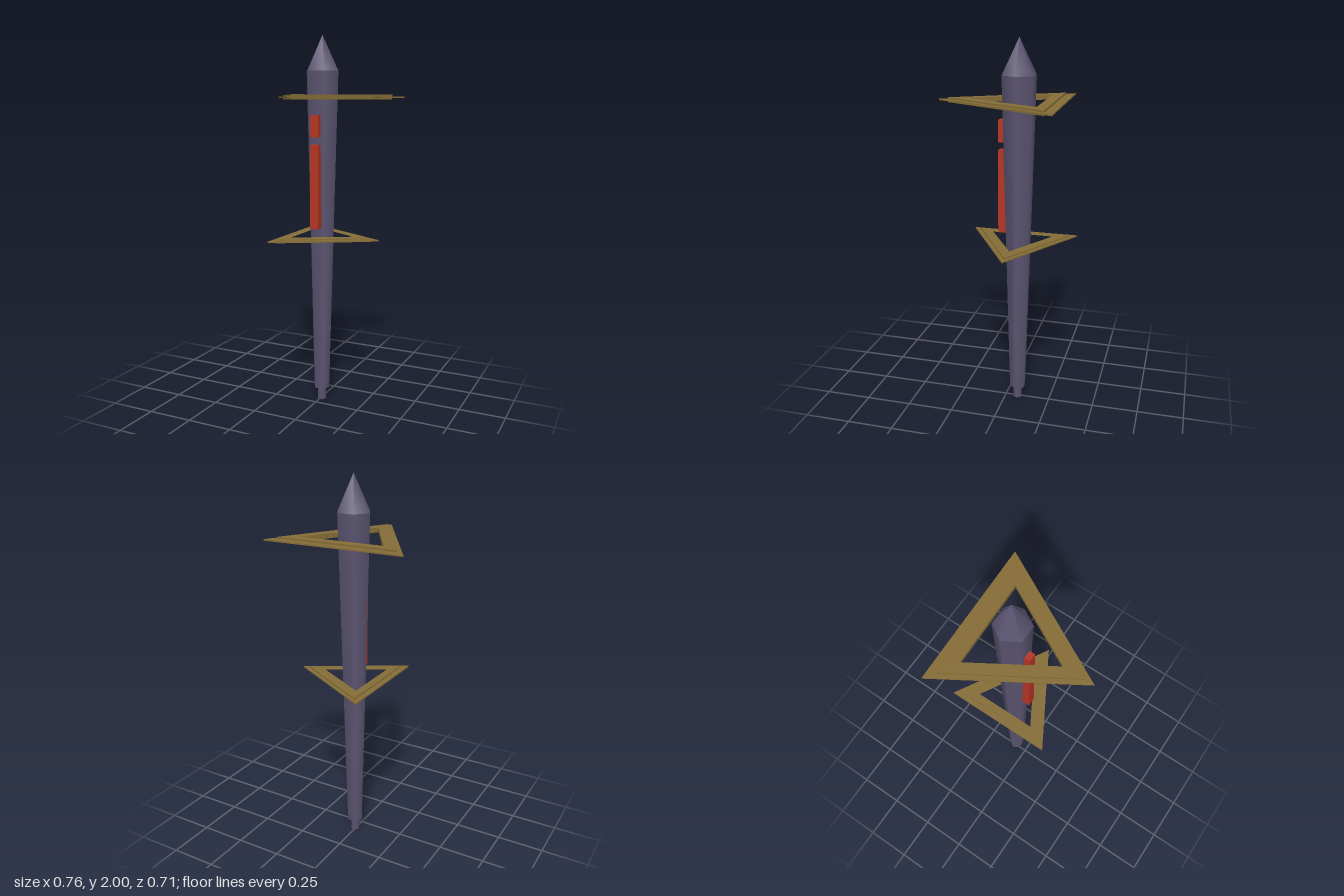
import * as THREE from 'three';

const mat = (name, color) => {
  const m = new THREE.MeshStandardMaterial({ color });
  m.name = name;
  return m;
};

export function createModel() {
  const model = new THREE.Group();
  model.name = 'wand';
  const slate = mat('slate purple', 0x5a5470);
  const gold = mat('old gold', 0x846c36);
  const red = mat('red', 0xb43424);

  const add = (parent, name, geometry, material, x = 0, y = 0, z = 0) => {
    const mesh = new THREE.Mesh(geometry, material);
    mesh.name = name;
    mesh.position.set(x, y, z);
    parent.add(mesh);
    return mesh;
  };

  // Six-sided shaft, with corners pointing along x
  const shaftPart = (name, rTop, rBottom, y0, y1) => add(model, name,
    new THREE.CylinderGeometry(rTop, rBottom, y1 - y0, 6, 1, false, Math.PI / 6),
    slate, 0.006, (y0 + y1) / 2, -0.069);
  shaftPart('bottomPeg', 0.025, 0.025, 0, 0.07);
  shaftPart('taperedShaft', 0.092, 0.045, 0.07, 1.815);
  shaftPart('pointedTip', 0, 0.092, 1.815, 2);

  // Red inlays on the front
  const inlay = (name, y0, y1) => add(model, name,
    new THREE.BoxGeometry(0.045, y1 - y0, 0.057), red, 0.0075, (y0 + y1) / 2, 0.0075);
  inlay('longInlay', 0.99, 1.435);
  inlay('shortInlay', 1.475, 1.59);

  // Flat triangular frame between two triangles given as [x, z] corners
  const frame = (outer, inner, depth) => {
    const points = (t) => t.map(([x, z]) => new THREE.Vector2(x, z));
    const shape = new THREE.Shape(points(outer));
    shape.holes.push(new THREE.Path(points(inner)));
    const g = new THREE.ExtrudeGeometry(shape, { depth, bevelEnabled: false });
    return g.translate(0, 0, -depth / 2).rotateX(Math.PI / 2);
  };

  // Each ring is a thick frame with a thin blade edge around it
  const ring = (name, y, thick, edge, step, hole) => {
    const group = new THREE.Group();
    group.name = name;
    group.position.y = y;
    add(group, 'frame', frame(step, hole, thick), gold);
    add(group, 'bladeEdge', frame(edge, step, 0.007), gold);
    model.add(group);
  };
  ring('upperTriangle', 1.681, 0.025,
    [[-0.38, -0.292], [0.378, -0.313], [0.018, 0.355]],
    [[-0.325, -0.247], [0.325, -0.266], [0.016, 0.307]],
    [[-0.227, -0.194], [0.227, -0.207], [0.012, 0.195]]);
  ring('lowerTriangle', 0.937, 0.02,
    [[-0.17, -0.357], [-0.17, 0.225], [0.335, -0.066]],
    [[-0.14, -0.319], [-0.14, 0.183], [0.293, -0.067]],
    [[-0.098, -0.232], [-0.098, 0.1], [0.19, -0.066]]);

  return model;
}
